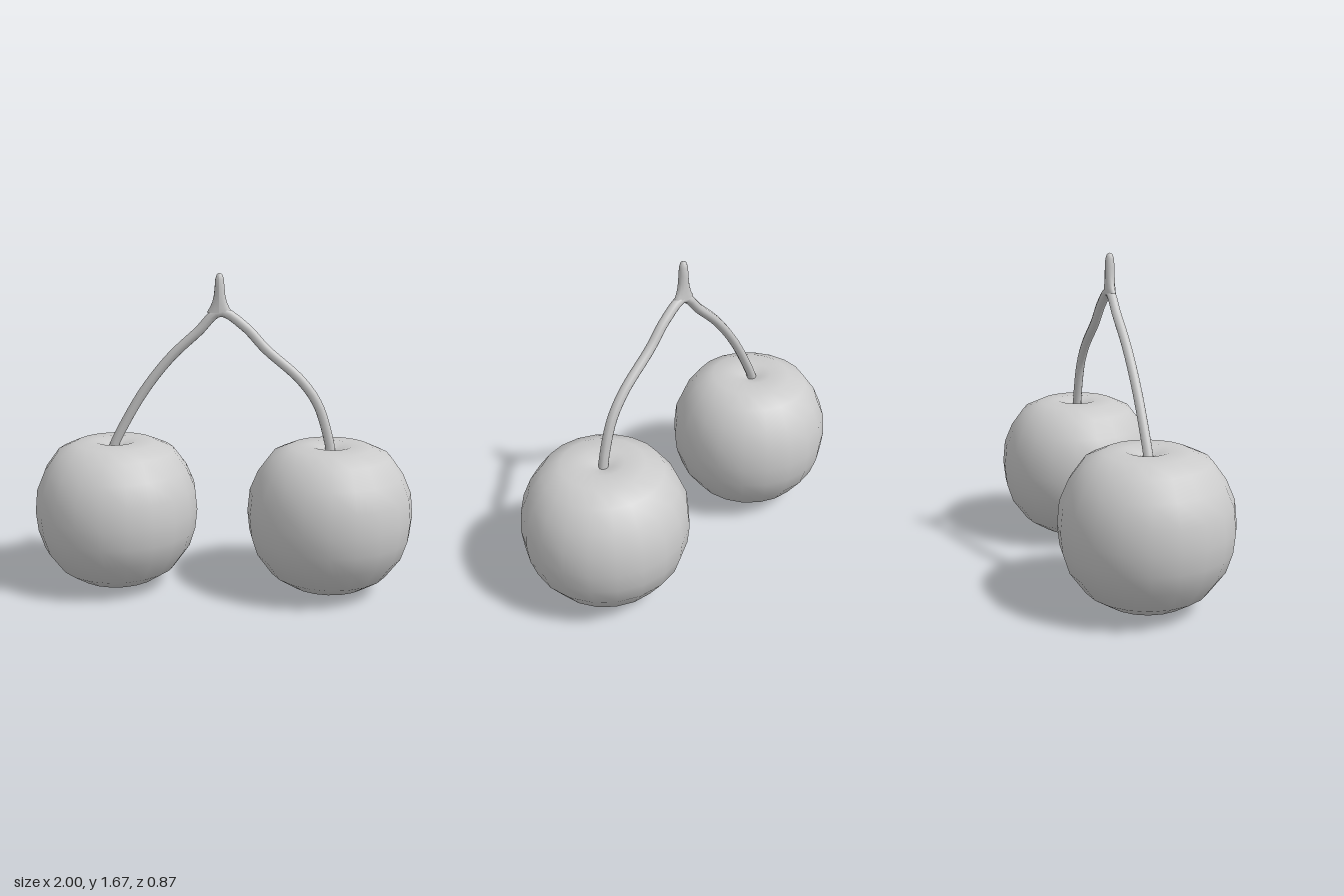
import * as THREE from 'three';

const material = new THREE.MeshStandardMaterial({ color: 0xcccccc, side: THREE.DoubleSide });
const points2 = (list) => list.map(([x, y]) => new THREE.Vector2(x, y));

// Round fruit, slightly flattened below and with a shallow dimple on top
function cherry(name, x) {
  const profile = points2([
    [0, 0], [0.075, 0.006], [0.215, 0.042], [0.31, 0.104], [0.39, 0.215],
    [0.422, 0.315], [0.433, 0.42], [0.421, 0.54], [0.378, 0.642], [0.308, 0.738],
    [0.212, 0.782], [0.11, 0.788], [0.05, 0.77], [0, 0.75],
  ]);
  const mesh = new THREE.Mesh(new THREE.LatheGeometry(profile, 20), material);
  mesh.name = name;
  mesh.position.x = x;
  return mesh;
}

// Both stalks as one arch, running from dimple to dimple over the fork
function stalks() {
  const path = new THREE.CatmullRomCurve3([
    [-0.58, 0.75], [-0.564, 0.79], [-0.42, 1.043], [-0.27, 1.235], [-0.126, 1.37],
    [-0.012, 1.474],
    [0.115, 1.4], [0.222, 1.287], [0.404, 1.128], [0.495, 1.0], [0.558, 0.8], [0.565, 0.75],
  ].map(([x, y]) => new THREE.Vector3(x, y, 0)));
  const mesh = new THREE.Mesh(new THREE.TubeGeometry(path, 48, 0.025, 8), material);
  mesh.name = 'stalks';
  return mesh;
}

// Short upright tip whose foot flares sideways into the two stalks
function stalkTip() {
  const profile = points2([
    [0.066, 1.47], [0.05, 1.495], [0.037, 1.525], [0.029, 1.56], [0.025, 1.6],
    [0.022, 1.64], [0.014, 1.663], [0, 1.671],
  ]);
  const geometry = new THREE.LatheGeometry(profile, 12);
  const position = geometry.attributes.position;
  for (let i = 0; i < position.count; i++) {
    const x = position.getX(i), z = position.getZ(i);
    const radius = Math.hypot(x, z);
    // keep the depth equal to that of the stalks
    if (radius > 0.025) position.setZ(i, z * 0.025 / radius);
  }
  geometry.computeVertexNormals();
  const mesh = new THREE.Mesh(geometry, material);
  mesh.name = 'stalkTip';
  mesh.position.x = -0.014;
  return mesh;
}

export function createModel() {
  const model = new THREE.Group();
  model.name = 'cherryPair';
  model.add(cherry('rightCherry', -0.567), cherry('leftCherry', 0.567), stalks(), stalkTip());
  return model;
}
